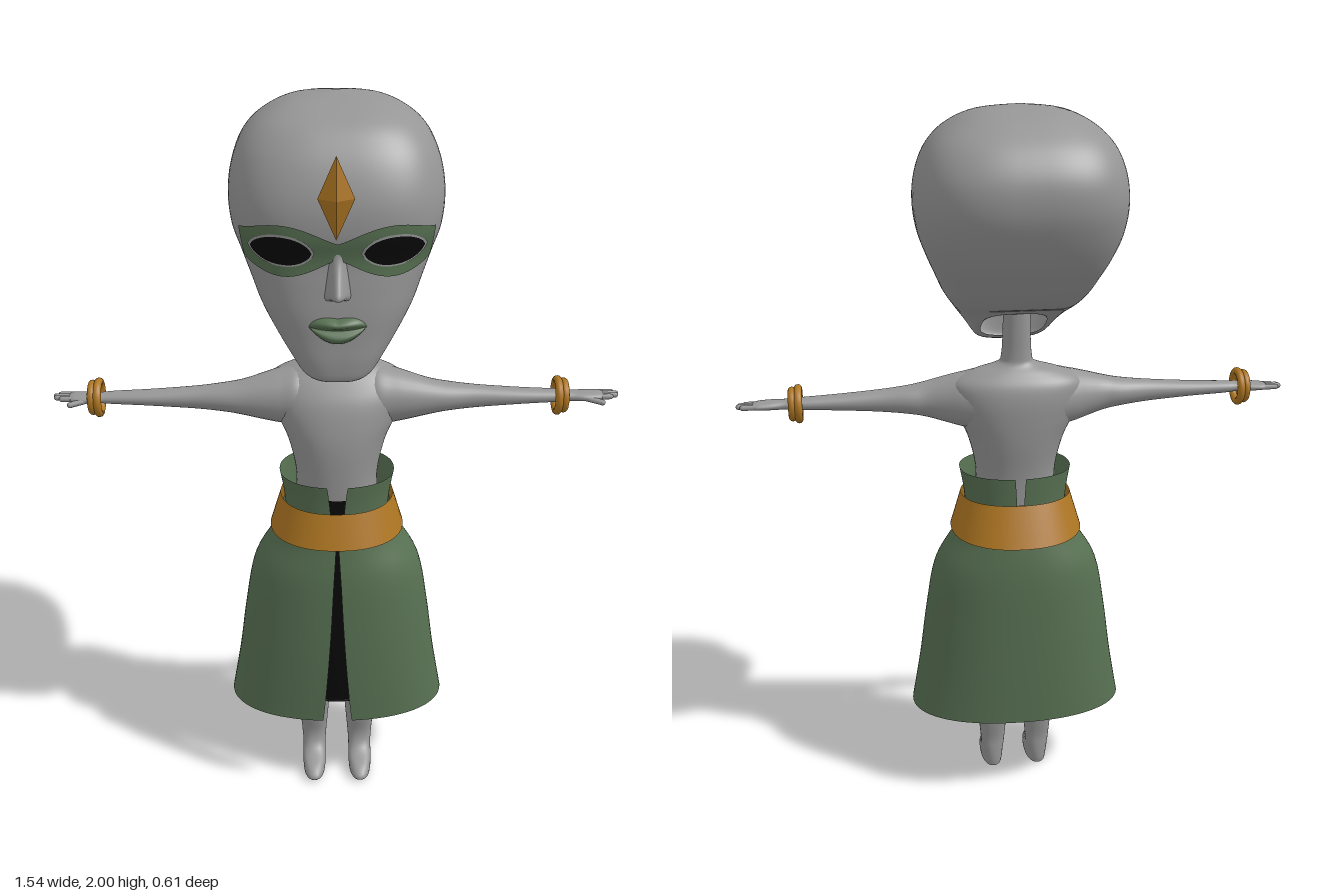
import * as THREE from 'three';

const SKIN = 0x969696, GREEN = 0x577052, GOLD = 0xae7622, BLACK = 0x080808;
const { lerp, clamp } = THREE.MathUtils;

function mesh(name, geometry, color = SKIN, side = THREE.FrontSide) {
  const m = new THREE.Mesh(geometry, new THREE.MeshStandardMaterial({ color, side }));
  m.name = name;
  return m;
}

// Grid of points fn(u, v), u to the right and v up; wrap joins the last column to the first
function grid(cols, rows, fn, wrap = false) {
  const pos = [], idx = [], w = wrap ? cols : cols + 1;
  for (let j = 0; j <= rows; j++)
    for (let i = 0; i < w; i++) pos.push(...fn(i / cols, j / rows));
  for (let j = 0; j < rows; j++)
    for (let i = 0; i < cols; i++) {
      const k = (i + 1) % w, a = j * w + i, b = j * w + k, c = (j + 1) * w + k, d = (j + 1) * w + i;
      idx.push(a, b, c, a, c, d);
    }
  const g = new THREE.BufferGeometry();
  g.setAttribute('position', new THREE.Float32BufferAttribute(pos, 3));
  g.setIndex(idx);
  g.computeVertexNormals();
  return g;
}

// Smooth interpolation of ring records [frontY, frontZ, backY, backZ, halfWidth]
function ringAt(rings, v) {
  const last = rings.length - 1, s = clamp(v, 0, 1) * last, k = Math.min(Math.floor(s), last - 1), t = s - k;
  const at = i => rings[clamp(i, 0, last)];
  return rings[0].map((_, c) => {
    const [a, b, d, e] = [at(k - 1)[c], at(k)[c], at(k + 1)[c], at(k + 2)[c]];
    return b + 0.5 * t * (d - a + t * (2 * a - 5 * b + 4 * d - e + t * (3 * (b - d) + e - a)));
  });
}

// Rounded cross-sections stacked bottom to top; from/to give an angular range measured from the front
function loft(rings, { n = 2, cols = 48, sub = 5, from, to } = {}) {
  const spow = x => Math.sign(x) * Math.abs(x) ** (2 / n);
  return grid(cols, (rings.length - 1) * sub, (u, v) => {
    const [yf, zf, yb, zb, hw] = ringAt(rings, v);
    const a = from ? lerp(from(v), to(v), u) : u * Math.PI * 2;
    const s = spow(Math.cos(a));
    return [hw * spow(Math.sin(a)), lerp(yb, yf, (s + 1) / 2), lerp(zb, zf, (s + 1) / 2)];
  }, !from);
}
// Level rings written as [y, frontZ, backZ, halfWidth]
const level = rows => rows.map(([y, f, b, w]) => [y, f, y, b, w]);

// Hollow head, open beneath around the neck
const HEAD_N = 2.9;
const HEAD = [
  [1.34, 0.185, 1.45, -0.02, 0.09], [1.32, 0.238, 1.452, -0.035, 0.104],
  [1.365, 0.25, 1.465, -0.06, 0.132], [1.43, 0.25, 1.48, -0.1, 0.166], [1.5, 0.25, 1.51, -0.14, 0.198],
  [1.57, 0.245, 1.55, -0.18, 0.222], [1.64, 0.24, 1.6, -0.225, 0.247], [1.7, 0.25, 1.67, -0.27, 0.27],
  [1.77, 0.248, 1.75, -0.302, 0.278], [1.84, 0.228, 1.83, -0.302, 0.268], [1.9, 0.195, 1.9, -0.265, 0.24],
  [1.95, 0.145, 1.95, -0.205, 0.19], [1.985, 0.06, 1.985, -0.14, 0.115], [2, -0.05, 2, -0.05, 0],
];

// Depth of the face at (x, y), found by bisection over the head's rings
function faceZ(x, y) {
  let lo = 1 / 13, hi = 0.85, z = 0;
  for (let i = 0; i < 24; i++) {
    const v = (lo + hi) / 2, [yf, zf, yb, zb, hw] = ringAt(HEAD, v);
    const s = Math.max(0, 1 - Math.min(1, Math.abs(x) / hw) ** HEAD_N) ** (1 / HEAD_N);
    z = lerp(zb, zf, (s + 1) / 2);
    if (lerp(yb, yf, (s + 1) / 2) < y) lo = v; else hi = v;
  }
  return z;
}

// Surface patch lying on the face; shape(u, v) returns [x, y, lift] with u in -1..1 and v in 0..1
function facePatch(name, color, cols, rows, shape) {
  return mesh(name, grid(cols, rows, (u, v) => {
    const [x, y, lift] = shape(u * 2 - 1, v);
    return [x, y, faceZ(x, y) + lift];
  }), color, THREE.DoubleSide);
}

function buildHead() {
  const head = new THREE.Group();
  head.name = 'head';
  head.add(mesh('skull', loft(HEAD, { n: HEAD_N, cols: 96 }), SKIN, THREE.DoubleSide));

  // Eye mask: a band, tall over each eye and narrower at the nose
  head.add(facePatch('eyeMask', GREEN, 64, 8, (u, v) => {
    const a = Math.abs(u), x = u * (0.235 + 0.01 * v);
    const bulge = Math.sin(Math.PI * Math.min(1, a / 1.15)) ** 1.2;
    const top = 1.687 + 0.043 * bulge + 0.008 * a ** 4, bottom = 1.645 - 0.045 * bulge - 0.004 * a ** 4;
    return [x, lerp(bottom, top, v), 0.006];
  }));

  // Almond eyes with thin lids
  for (const s of [1, -1])
    for (const [name, color, w, h, lift] of [['eyelid', SKIN, 0.083, 0.041, 0.009], ['eye', BLACK, 0.076, 0.036, 0.012]])
      head.add(facePatch(name, color, 24, 6, (u, v) =>
        [s * 0.14 + u * w, 1.667 + s * u * 0.004 + (v * 2 - 1) * h * (1 - Math.abs(u) ** 2.2) ** 0.65, lift]));

  // Nose ridge, growing towards the tip and tucking in beneath
  head.add(facePatch('nose', SKIN, 16, 16, (u, v) => {
    const down = 1 - v, rise = down < 0.86 ? (down / 0.86) ** 1.2 : (1 - down) / 0.14;
    return [u * lerp(0.036, 0.02, v), lerp(1.54, 1.66, v), 0.06 * rise * (1 - u * u) ** 1.6 - 0.002 + 0.008 * v * (1 - u * u)];
  }));

  // Lips with a parting line
  const lip = (name, edge) => head.add(facePatch(name, GREEN, 24, 8, (u, v) => {
    const y = lerp(1.468, edge(Math.abs(u)), v) + 0.006 * u * u;
    return [u * 0.073, y, 0.002 + 0.024 * Math.sin(Math.PI * clamp(v, 0.1, 1)) ** 0.8 * (1 - u * u)];
  }));
  lip('upperLip', a => 1.468 + (0.028 + 0.014 * a) * (1 - a * a) ** 0.7);
  lip('lowerLip', a => 1.468 - 0.039 * (1 - a * a));

  // Diamond ornament on the forehead
  const jewel = mesh('foreheadJewel', new THREE.OctahedronGeometry(1), GOLD);
  jewel.material.flatShading = true;
  jewel.scale.set(0.045, 0.104, 0.023);
  jewel.rotation.x = 0.07;
  jewel.position.set(-0.004, 1.803, 0.27);
  head.add(jewel);
  return head;
}

// Arm along +x, flaring into the shoulder, with a flat hand, fingers and thumb
function buildArm() {
  const arm = new THREE.Group();
  arm.name = 'arm';
  const g = loft(level([
    [0.06, 0.08, -0.02, 0.05], [0.1, 0.114, -0.055, 0.084], [0.15, 0.112, -0.042, 0.077], [0.2, 0.107, -0.02, 0.064],
    [0.25, 0.101, -0.002, 0.05], [0.3, 0.095, 0.004, 0.04], [0.38, 0.084, 0.017, 0.031], [0.5, 0.08, 0.022, 0.022],
    [0.6, 0.075, 0.026, 0.017], [0.64, 0.073, 0.03, 0.014], [0.68, 0.08, 0.022, 0.013], [0.72, 0.072, 0.021, 0.01],
    [0.73, 0.047, 0.046, 0],
  ]), { cols: 28 });
  g.rotateZ(-Math.PI / 2);
  const limb = mesh('armAndPalm', g);
  limb.position.y = 1.2;
  arm.add(limb);
  const digit = (name, x0, z0, x1, z1, r, drop = 0) => {
    const a = new THREE.Vector3(x0, 1.2, z0), b = new THREE.Vector3(x1, 1.2 - drop, z1), d = b.clone().sub(a);
    const m = mesh(name, new THREE.CapsuleGeometry(r, d.length(), 4, 10));
    m.position.copy(a).add(b).multiplyScalar(0.5);
    m.quaternion.setFromUnitVectors(new THREE.Vector3(0, 1, 0), d.normalize());
    arm.add(m);
  };
  [0.752, 0.763, 0.76, 0.745].forEach((x, i) => digit('finger', 0.7, 0.03 + i * 0.011, x, 0.029 + i * 0.011, 0.0078));
  digit('thumb', 0.67, 0.068, 0.72, 0.084, 0.008, 0.008);
  return arm;
}

// Leg tapering to the ankle, with the rings tilting forward into the foot
function buildLeg() {
  const leg = mesh('legAndFoot', loft([
    [0, 0.1, 0, 0.1, 0], [0.003, 0.195, 0, 0.045, 0.028], [0.015, 0.21, 0.008, 0.037, 0.033],
    [0.035, 0.185, 0.03, 0.034, 0.034], [0.058, 0.125, 0.06, 0.034, 0.034], [0.1, 0.104, 0.1, 0.034, 0.037],
    [0.17, 0.115, 0.17, 0.022, 0.043], [0.27, 0.125, 0.27, 0.01, 0.05], [0.4, 0.13, 0.4, 0, 0.055],
  ], { n: 2.3, cols: 28 }));
  leg.position.x = 0.069;
  return leg;
}

export function createModel() {
  const model = new THREE.Group();
  model.name = 'figure';
  model.add(buildHead());

  model.add(mesh('torsoAndNeck', loft(level([
    [0.86, 0.16, -0.05, 0.118], [0.98, 0.165, -0.055, 0.113], [1.08, 0.166, -0.07, 0.133], [1.15, 0.156, -0.077, 0.163],
    [1.21, 0.137, -0.078, 0.182], [1.255, 0.106, -0.068, 0.178], [1.285, 0.078, -0.045, 0.125],
    [1.305, 0.066, -0.026, 0.055], [1.33, 0.062, -0.022, 0.042], [1.4, 0.058, -0.024, 0.038], [1.52, 0.052, -0.028, 0.036],
  ]), { n: 2.2 })));

  // Mirrored limbs
  for (const s of [1, -1]) {
    const half = new THREE.Group();
    half.name = s > 0 ? 'leftLimbs' : 'rightLimbs';
    half.scale.x = s;
    half.add(buildArm(), buildLeg());
    model.add(half);
  }

  // Paired bangles on each wrist, the larger one nearer the body
  for (const x of [0.608, -0.652])
    for (const [dx, r] of [[-0.007, 0.043], [0.01, 0.037]]) {
      const b = mesh('bangle', new THREE.TorusGeometry(r, 0.011, 12, 36), GOLD);
      b.rotation.y = Math.PI / 2;
      b.position.set(x + Math.sign(x) * dx, 1.2, 0.05);
      model.add(b);
    }

  // Dark underskirt with a closed hem
  model.add(mesh('underskirt', loft(level([
    [0.3, 0.055, 0.055, 0], [0.3, 0.19, -0.08, 0.185], [0.31, 0.2, -0.085, 0.19], [0.5, 0.205, -0.09, 0.19],
    [0.7, 0.195, -0.08, 0.17], [0.84, 0.178, -0.062, 0.14], [0.94, 0.172, -0.045, 0.108],
  ])), BLACK, THREE.DoubleSide));

  // Flared skirt, its front split widening towards the hem
  const slit = v => 0.03 * Math.sqrt(1 - v) + 0.08 * (1 - v) ** 2;
  model.add(mesh('skirt', loft(level([
    [0.252, 0.24, -0.132, 0.312], [0.4, 0.24, -0.132, 0.286], [0.55, 0.235, -0.13, 0.265],
    [0.7, 0.225, -0.125, 0.236], [0.8, 0.208, -0.11, 0.178], [0.88, 0.195, -0.09, 0.152],
  ]), { n: 2.2, cols: 72, from: slit, to: v => Math.PI * 2 - slit(v) }), GREEN, THREE.DoubleSide));

  model.add(mesh('belt', loft([
    [0.817, 0.231, 0.806, -0.138, 0.188], [0.912, 0.197, 0.918, -0.088, 0.157],
  ], { n: 2.2, cols: 64 }), GOLD, THREE.DoubleSide));

  // Standing waistband in two halves, notched at front and back
  const notch = v => 0.09 + 0.06 * v;
  for (const s of [1, -1]) {
    const band = mesh('waistbandHalf', loft(level([
      [0.88, 0.185, -0.066, 0.143], [0.94, 0.187, -0.068, 0.15], [0.99, 0.192, -0.07, 0.159],
    ]), { n: 2.2, from: notch, to: v => Math.PI - notch(v) / 2 }), GREEN, THREE.DoubleSide);
    band.scale.x = s;
    model.add(band);
  }
  return model;
}
